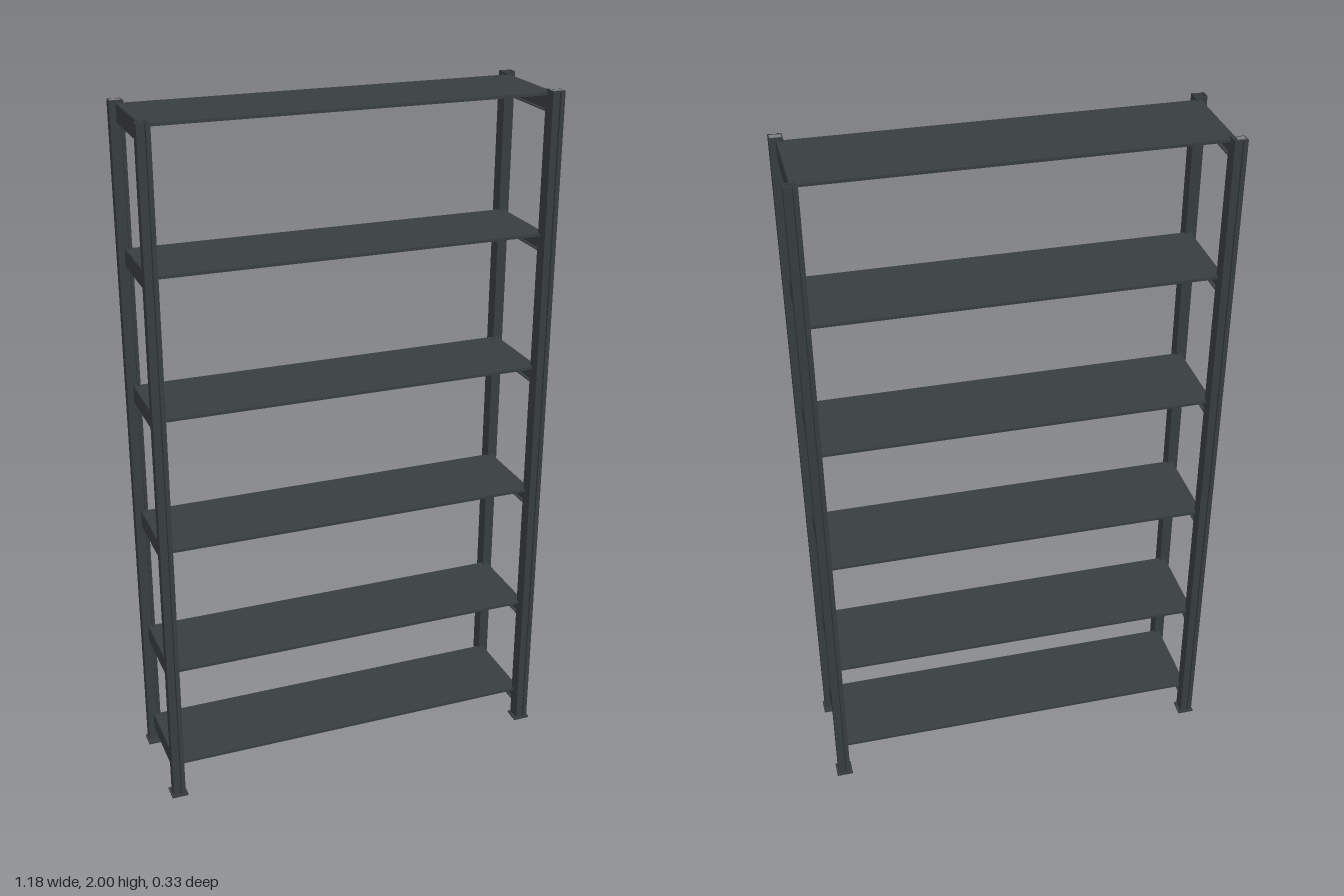
import * as THREE from 'three';

export function createModel() {
  const group = new THREE.Group();
  const steel = new THREE.MeshStandardMaterial({ color: 0x383e3e });
  steel.name = 'anthracite steel';

  const add = (name, geometry, x = 0, y = 0, z = 0) => {
    const mesh = new THREE.Mesh(geometry, steel);
    mesh.name = name;
    mesh.position.set(x, y, z);
    group.add(mesh);
  };

  // Plan outline of a rolled post: shallow groove in the face, flange with a lip inside
  const outline = [
    [0.547, 0.122], [0.556, 0.122], [0.556, 0.127], [0.551, 0.127], [0.551, 0.134],
    [0.583, 0.134], [0.583, 0.163], [0.571, 0.163], [0.569, 0.159],
    [0.561, 0.159], [0.559, 0.163], [0.547, 0.163],
  ];
  const hollow = [[0.55, 0.137], [0.58, 0.137], [0.58, 0.156], [0.55, 0.156]];

  for (const sx of [-1, 1]) {
    for (const sz of [-1, 1]) {
      const toPlan = ([x, z]) => new THREE.Vector2(x * sx, -z * sz);
      const shape = new THREE.Shape(outline.map(toPlan));
      shape.holes.push(new THREE.Path(hollow.map(toPlan)));
      const post = new THREE.ExtrudeGeometry(shape, { depth: 1.994, bevelEnabled: false });
      post.rotateX(-Math.PI / 2);
      add('post', post, 0, 0.006, 0);
      // Foot plate under each post
      add('foot', new THREE.BoxGeometry(0.048, 0.006, 0.048), sx * 0.564, 0.003, sz * 0.142);
    }
  }

  // Cross rail section: upright web with short turned-in flanges
  const railPoints = [
    [0.553, 0], [0.564, 0], [0.566, -0.003], [0.566, -0.051], [0.563, -0.055],
    [0.553, -0.055], [0.553, -0.052], [0.561, -0.052], [0.562, -0.05],
    [0.562, -0.004], [0.553, -0.004],
  ];
  const shelfTops = [0.1, 0.42, 0.81, 1.205, 1.603, 1.993];
  for (const y of shelfTops) {
    add('shelf', new THREE.BoxGeometry(1.122, 0.008, 0.266), 0, y - 0.004, 0);
    for (const sx of [-1, 1]) {
      const section = new THREE.Shape(railPoints.map(([x, h]) => new THREE.Vector2(x * sx, h)));
      const rail = new THREE.ExtrudeGeometry(section, { depth: 0.266, bevelEnabled: false });
      add('crossRail', rail, 0, y, -0.133);
    }
  }
  return group;
}
